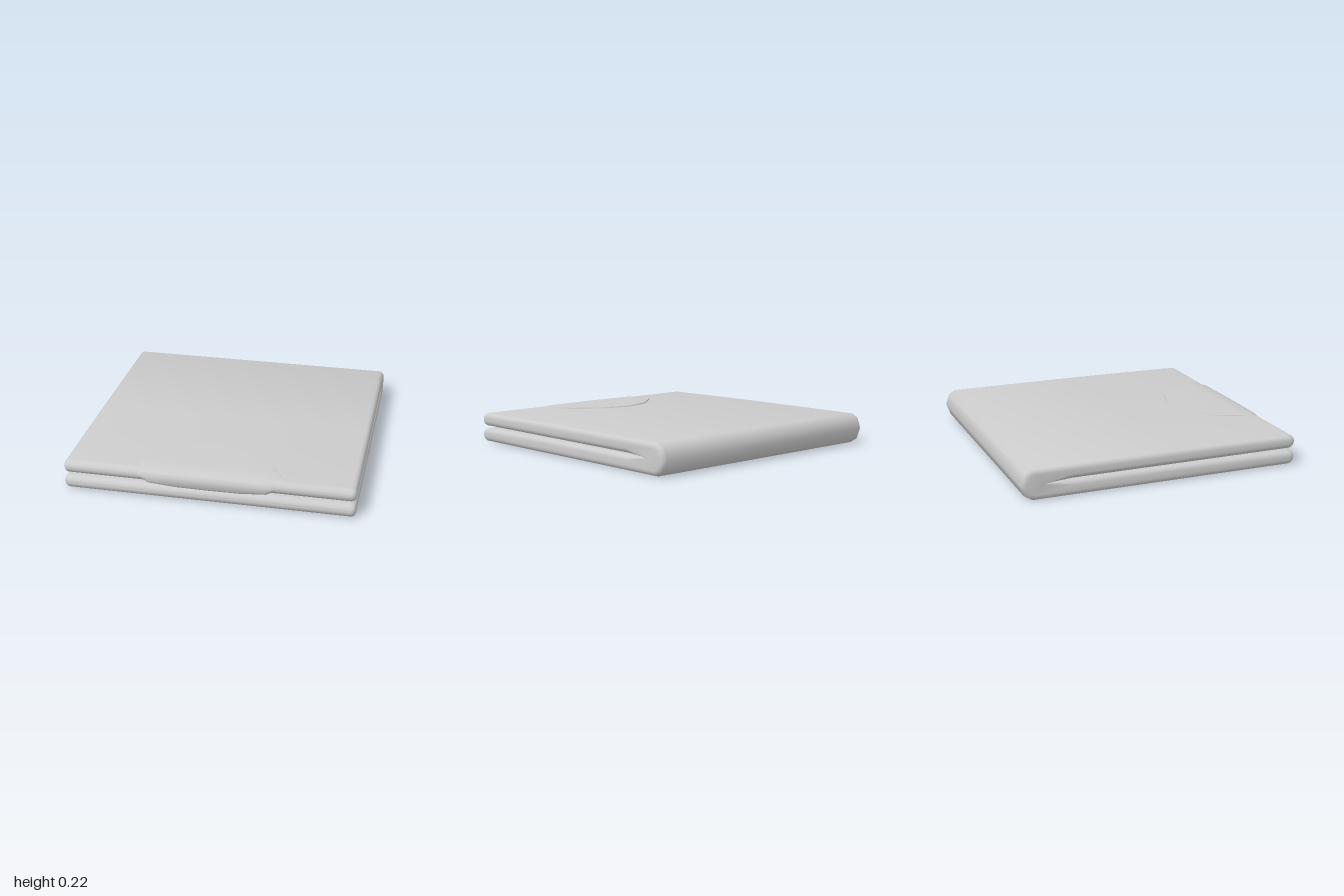
import * as THREE from 'three';
import { toCreasedNormals, mergeVertices } from 'three/addons/utils/BufferGeometryUtils.js';

const grey = new THREE.MeshStandardMaterial({ color: 0xcccccc });

// Two padded leaves joined by a rounded spine: a side profile (z, y) run along x
function foldedBody() {
  const s = new THREE.Shape();
  const q = Math.PI / 2;
  s.moveTo(-0.92, 0);
  s.lineTo(0.935, 0.002);
  s.absarc(0.937, 0.05, 0.048, -q, q);           // lower leaf edge
  s.lineTo(0.3, 0.105);
  s.lineTo(-0.65, 0.107);
  s.lineTo(-0.8, 0.11);                          // inner fold
  s.lineTo(-0.65, 0.115);
  s.absarc(0.937, 0.164, 0.047, -q, q);          // upper leaf edge
  s.lineTo(0.5, 0.215);
  s.lineTo(0.1, 0.217);
  s.lineTo(-0.92, 0.215);
  s.lineTo(-0.97, 0.19);                         // spine
  s.lineTo(-1, 0.11);
  s.lineTo(-0.97, 0.03);
  s.closePath();

  const bevel = 0.035;
  const depth = 1.99 - 2 * bevel;
  const geo = new THREE.ExtrudeGeometry(s, {
    depth, curveSegments: 8, bevelEnabled: true, bevelThickness: bevel,
    bevelSize: bevel, bevelOffset: -bevel, bevelSegments: 4,
  });
  geo.translate(0, 0, -depth / 2).rotateY(-Math.PI / 2);
  const mesh = new THREE.Mesh(toCreasedNormals(geo, 0.8), grey);
  mesh.name = 'foldedBody';
  return mesh;
}

// Domed closing tab wrapping over the front edge, lofted across x
function closingTab() {
  // half stations: x, back z, top y, front z, bottom y
  const half = [
    [0.52, 0.92, 0.203, 0.972, 0.15],
    [0.46, 0.84, 0.218, 0.992, 0.145],
    [0.4, 0.67, 0.222, 0.998, 0.115],
    [0.22, 0.52, 0.223, 1, 0.102],
    [0, 0.455, 0.224, 1, 0.1],
  ];
  const mirrored = half.slice(0, -1).map(([x, ...r]) => [-x, ...r]);
  const stations = [...mirrored, ...half.slice().reverse()];
  const pos = [], idx = [];
  const n = 9;
  for (const [x, zb, yt, zf, yb] of stations) {
    const ring = [
      [zb, 0.2], [zb + 0.012, yt], [Math.max(zb + 0.02, 0.85), yt],
      [zf - 0.05, yt - 0.008], [zf - 0.015, yt - 0.022], [zf, yt - 0.05],
      [zf, yb + 0.02], [zf - 0.02, yb], [0.9, yb + 0.01],
    ];
    for (const [z, y] of ring) pos.push(x, y, z);
  }
  for (let i = 0; i < stations.length - 1; i++) {
    for (let j = 0; j < n; j++) {
      const a = i * n + j, b = i * n + (j + 1) % n;
      idx.push(a, b, a + n, b, b + n, a + n);
    }
  }
  const geo = new THREE.BufferGeometry();
  geo.setAttribute('position', new THREE.Float32BufferAttribute(pos, 3));
  geo.setIndex(idx);
  const mesh = new THREE.Mesh(toCreasedNormals(mergeVertices(geo), 0.8), grey);
  mesh.name = 'closingTab';
  return mesh;
}

export function createModel() {
  const group = new THREE.Group();
  group.name = 'foldedWallet';
  group.add(foldedBody(), closingTab());
  return group;
}
